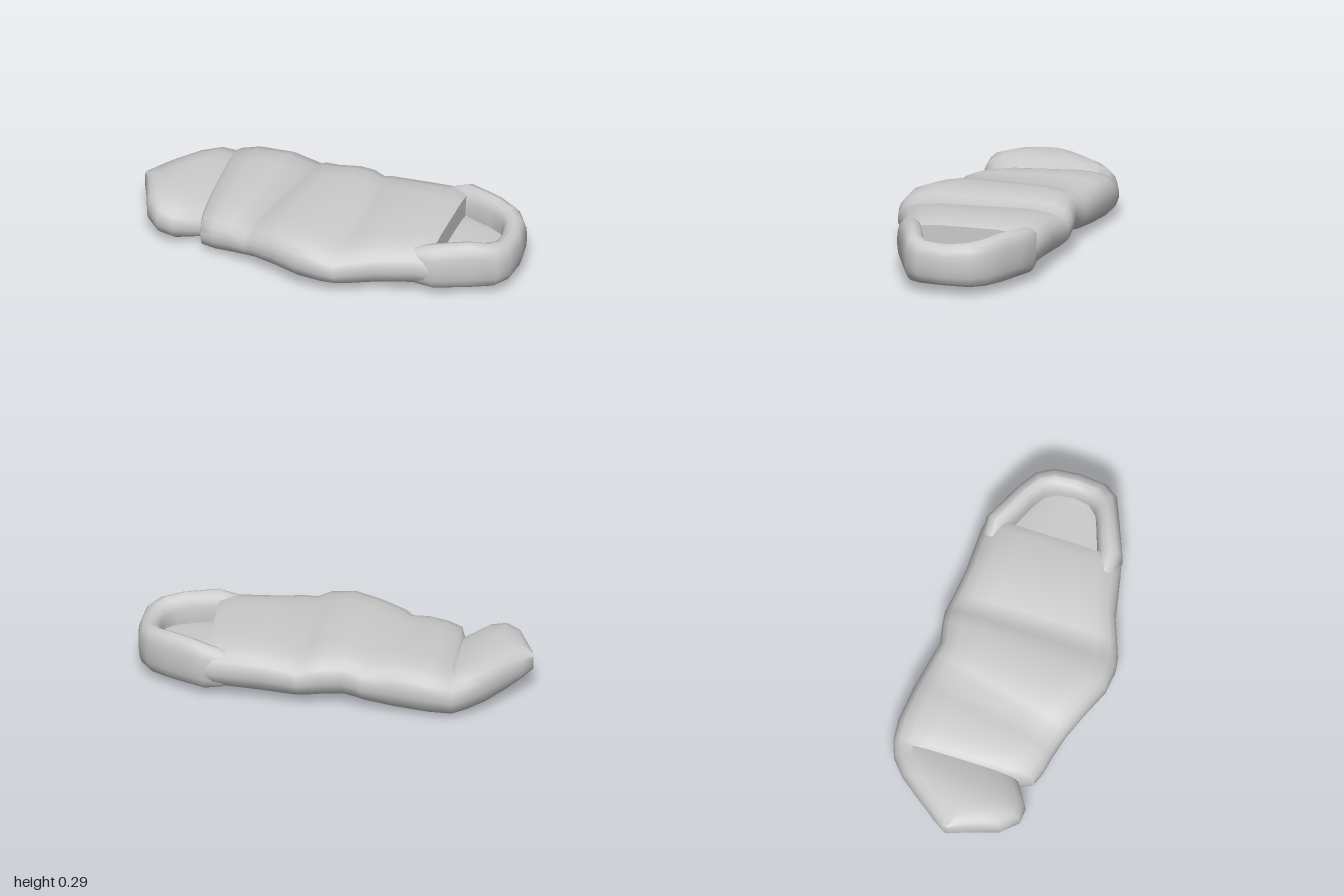
import * as THREE from 'three';
import { toCreasedNormals } from 'three/addons/utils/BufferGeometryUtils.js';

// Padded edge from underside to top: [distance in from the edge, height 0..1]
const EDGE = [[0.11, 0], [0.05, 0.08], [0.015, 0.22], [0, 0.4], [0, 0.58],
  [0.012, 0.73], [0.04, 0.86], [0.1, 0.95], [0.2, 1]];

// Closed cushion-like ring across one station [x1, z1, x2, z2, top1, top2, bottom]
function ring([x1, z1, x2, z2, top1, top2, bottom]) {
  const width = Math.hypot(x2 - x1, z2 - z1);
  const scale = Math.min(1 / width, 2.4);
  const point = (k, v) => new THREE.Vector3(
    x1 + (x2 - x1) * k,
    bottom + (top1 + (top2 - top1) * k - bottom) * v,
    z1 + (z2 - z1) * k);
  const near = EDGE.map(([d, v]) => point(1 - d * scale, v));
  const far = EDGE.map(([d, v]) => point(d * scale, v)).reverse();
  return [...near, ...far];
}

// Skins a row of stations and closes both ends
function loft(name, stations, material) {
  const rings = stations.map(ring);
  const n = rings[0].length;
  const points = rings.flat();
  const index = [];
  for (let i = 0; i < rings.length - 1; i++) {
    for (let j = 0; j < n; j++) {
      const a = i * n + j, b = i * n + (j + 1) % n;
      index.push(a, a + n, b, b, a + n, b + n);
    }
  }
  for (const i of [0, rings.length - 1]) {
    const centre = points.length;
    const middle = new THREE.Vector3();
    rings[i].forEach(p => middle.addScaledVector(p, 1 / n));
    points.push(middle);
    for (let j = 0; j < n; j++) {
      const a = i * n + j, b = i * n + (j + 1) % n;
      if (i === 0) index.push(centre, a, b);
      else index.push(centre, b, a);
    }
  }
  const geometry = new THREE.BufferGeometry().setFromPoints(points);
  geometry.setIndex(index);
  const mesh = new THREE.Mesh(toCreasedNormals(geometry, 0.9), material);
  mesh.name = name;
  return mesh;
}

export function createModel() {
  const group = new THREE.Group();
  group.name = 'sleepingBag';
  const material = new THREE.MeshStandardMaterial({ color: 0xcccccc });

  // Quilted body, from the foot to the hood opening; slanted stations make the seams
  group.add(loft('quiltedBody', [
    [-1, -0.01, -0.99, 0.03, 0.2, 0.2, 0.12],
    [-0.96, -0.08, -0.94, 0.13, 0.22, 0.225, 0.085],
    [-0.89, -0.19, -0.88, 0.26, 0.24, 0.24, 0.05],
    [-0.81, -0.31, -0.8, 0.325, 0.24, 0.24, 0.03],
    [-0.73, -0.39, -0.72, 0.32, 0.235, 0.225, 0.015],
    [-0.67, -0.42, -0.6, 0.23, 0.215, 0.18, 0], // foot seam
    [-0.65, -0.428, -0.57, 0.305, 0.23, 0.2, 0],
    [-0.55, -0.445, -0.5, 0.325, 0.257, 0.215, 0.005],
    [-0.36, -0.44, -0.41, 0.335, 0.275, 0.225, 0.015],
    [-0.2, -0.425, -0.32, 0.35, 0.25, 0.21, 0.03], // leg seam
    [-0.17, -0.42, -0.28, 0.36, 0.265, 0.235, 0.035],
    [-0.1, -0.41, -0.15, 0.4, 0.275, 0.26, 0.042],
    [0, -0.44, 0, 0.45, 0.275, 0.268, 0.045],
    [0.07, -0.455, 0.13, 0.45, 0.26, 0.25, 0.04],
    [0.12, -0.455, 0.2, 0.43, 0.235, 0.22, 0.035], // chest seam
    [0.16, -0.45, 0.25, 0.405, 0.25, 0.237, 0.032],
    [0.32, -0.445, 0.38, 0.34, 0.268, 0.255, 0.035],
    [0.55, -0.46, 0.58, 0.28, 0.272, 0.27, 0.048],
    [0.59, -0.455, 0.65, 0.255, 0.255, 0.255, 0.05],
  ], material));

  // Padded hood rim, swept round from the back edge to the front edge
  group.add(loft('hoodRim', [
    [0.5, -0.44, 0.5, -0.33, 0.25, 0.25, 0.06],
    [0.6, -0.458, 0.57, -0.345, 0.28, 0.275, 0.05],
    [0.7, -0.42, 0.66, -0.31, 0.286, 0.286, 0.048],
    [0.8, -0.38, 0.76, -0.275, 0.289, 0.289, 0.046],
    [0.91, -0.325, 0.83, -0.24, 0.28, 0.28, 0.046],
    [0.97, -0.25, 0.865, -0.19, 0.268, 0.268, 0.046],
    [1, -0.12, 0.885, -0.1, 0.256, 0.256, 0.05],
    [1, 0.03, 0.88, -0.02, 0.262, 0.262, 0.05],
    [0.96, 0.1, 0.84, 0.035, 0.275, 0.275, 0.046],
    [0.84, 0.165, 0.78, 0.065, 0.289, 0.289, 0.044],
    [0.67, 0.255, 0.64, 0.13, 0.28, 0.284, 0.048],
    [0.55, 0.26, 0.55, 0.15, 0.25, 0.25, 0.06],
  ], material));

  // Padded floor inside the hood
  group.add(loft('hoodFloor', [
    [0.55, -0.39, 0.55, 0.2, 0.15, 0.15, 0.048],
    [0.75, -0.35, 0.75, 0.16, 0.15, 0.15, 0.046],
    [0.88, -0.29, 0.88, 0.09, 0.15, 0.15, 0.046],
    [0.95, -0.18, 0.95, 0.02, 0.15, 0.15, 0.05],
  ], material));

  return group;
}
